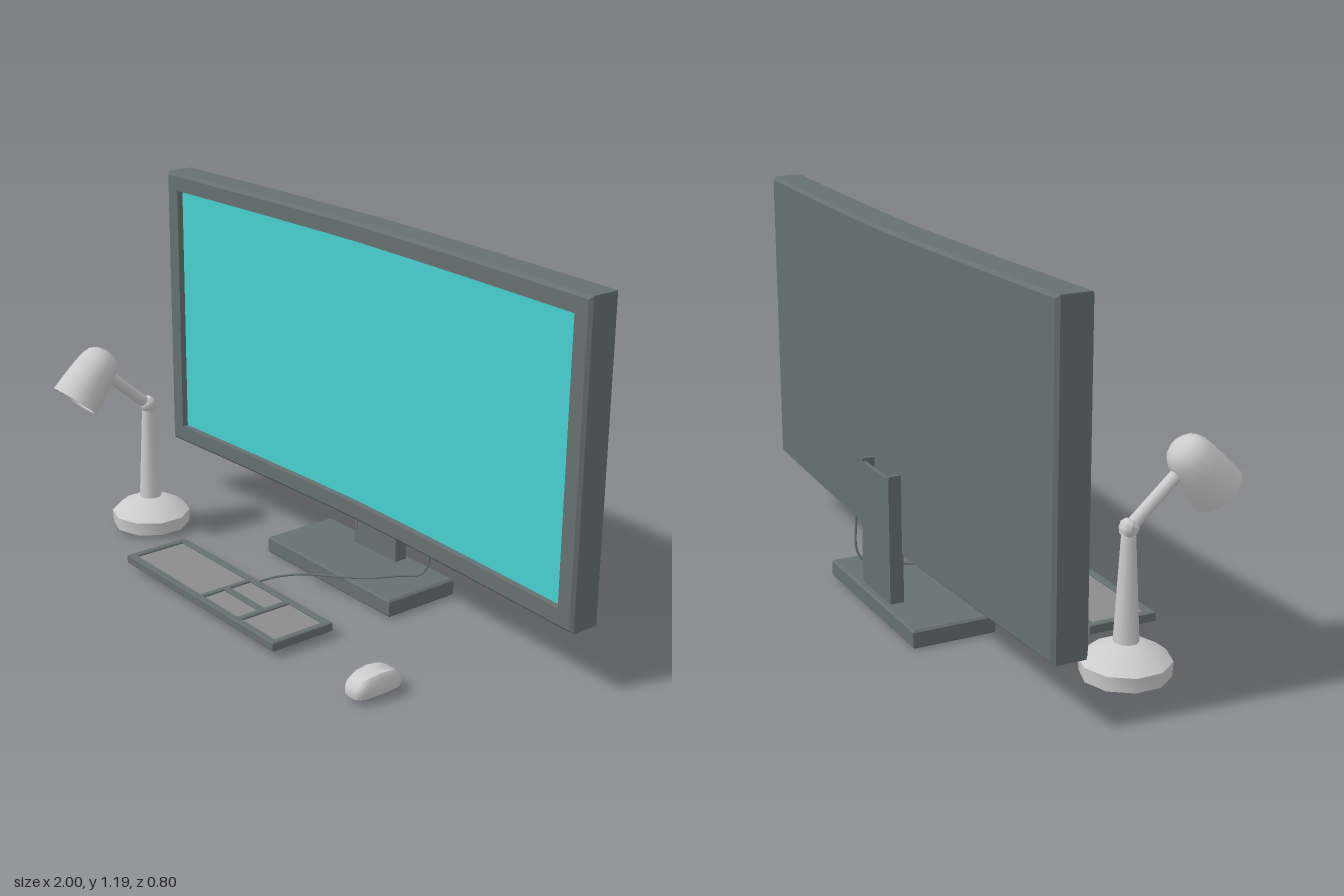
import * as THREE from 'three';
import { toCreasedNormals } from 'three/addons/utils/BufferGeometryUtils.js';

const material = (color) => new THREE.MeshStandardMaterial({ color, side: THREE.DoubleSide });
const grey = material(0xcccccc);
const dark = material(0x667070);
const keyGrey = material(0x8c8c8c);
const cyan = material(0x48d0d0);
const brown = material(0x8f7a62);

function add(parent, name, geometry, mat, x = 0, y = 0, z = 0) {
  const mesh = new THREE.Mesh(geometry, mat);
  mesh.name = name;
  mesh.position.set(x, y, z);
  parent.add(mesh);
  return mesh;
}

function box(parent, name, mat, x0, x1, y0, y1, z0, z1) {
  return add(parent, name, new THREE.BoxGeometry(x1 - x0, y1 - y0, z1 - z0), mat,
    (x0 + x1) / 2, (y0 + y1) / 2, (z0 + z1) / 2);
}

// Skin a surface over closed rings with equal point counts
function loft(rings, crease) {
  const n = rings[0].length;
  const index = [];
  for (let i = 0; i < rings.length - 1; i++) {
    for (let j = 0; j < n; j++) {
      const a = i * n + j, b = i * n + (j + 1) % n;
      index.push(a, b, b + n, a, b + n, a + n);
    }
  }
  const geometry = new THREE.BufferGeometry().setFromPoints(rings.flat());
  geometry.setIndex(index);
  return toCreasedNormals(geometry, crease);
}

const lathe = (profile, sides) => toCreasedNormals(
  new THREE.LatheGeometry(profile.map(([r, y]) => new THREE.Vector2(r, y)), sides), 0.7);

// Horizontal slab with rectangular holes; rectangles are [x0, x1, z0, z1]
function slab([x0, x1, z0, z1], holes, y0, y1, bevel) {
  const rect = (path, a, b, c, d) => path.moveTo(a, -d).lineTo(b, -d).lineTo(b, -c).lineTo(a, -c).closePath();
  const shape = rect(new THREE.Shape(), x0 + bevel, x1 - bevel, z0 + bevel, z1 - bevel);
  for (const h of holes) shape.holes.push(rect(new THREE.Path(), ...h));
  const geometry = new THREE.ExtrudeGeometry(shape, {
    depth: y1 - y0 - 2 * bevel, bevelEnabled: true, bevelSize: bevel, bevelThickness: bevel, bevelSegments: 1,
  });
  return geometry.rotateX(-Math.PI / 2).translate(0, y0 + bevel, 0);
}

// Gentle monitor curve: the centre lies further back than the ends
const SEG = 8;
function bend(geometry) {
  const p = geometry.attributes.position;
  for (let i = 0; i < p.count; i++) {
    p.setZ(i, p.getZ(i) - 0.037 * (1 - Math.abs(p.getX(i)) ** 1.35));
  }
  geometry.computeVertexNormals();
  return geometry;
}

function rectRing(hw, hh, z) {
  const points = [];
  for (let i = 0; i <= SEG; i++) points.push(new THREE.Vector3(hw * (2 * i / SEG - 1), -hh, z));
  for (let i = SEG; i >= 0; i--) points.push(new THREE.Vector3(hw * (2 * i / SEG - 1), hh, z));
  return points;
}

function createMonitor() {
  const g = new THREE.Group();
  g.name = 'monitor';
  const cy = 0.6975, hh = 0.4925, b = 0.01;
  // Casing: back edge, sides, front bezel and the step down to the screen
  const rings = [
    rectRing(1 - b, hh - b, -0.305), rectRing(1, hh, -0.295), rectRing(1, hh, -0.204),
    rectRing(1 - b, hh - b, -0.194), rectRing(0.94, 0.433, -0.194), rectRing(0.94, 0.433, -0.215),
  ];
  add(g, 'casing', toCreasedNormals(bend(loft(rings, 0.5)), 0.5), dark, 0, cy);
  const back = new THREE.PlaneGeometry(2 * (1 - b), 2 * (hh - b), SEG, 1).rotateY(Math.PI).translate(0, 0, -0.305);
  add(g, 'backPanel', bend(back), dark, 0, cy);
  add(g, 'screen', bend(new THREE.PlaneGeometry(1.88, 0.866, SEG, 1).translate(0, 0, -0.215)), cyan, 0, cy);

  // Stand: channel-shaped neck on a base that is hollow underneath
  box(g, 'neckBack', dark, -0.125, 0.085, 0.05, 0.455, -0.38, -0.368);
  for (const x of [-0.125, 0.073]) box(g, 'neckFlange', dark, x, x + 0.012, 0.05, 0.465, -0.38, -0.335);
  box(g, 'neckFront', dark, -0.113, 0.073, 0.05, 0.3, -0.347, -0.336);
  add(g, 'standBase', slab([-0.335, 0.295, -0.4, -0.13], [[-0.295, 0.255, -0.365, -0.165]], 0, 0.058, 0.006), dark);
  box(g, 'standTop', dark, -0.31, 0.27, 0.04, 0.058, -0.38, -0.15);
  return g;
}

function createKeyboard() {
  const g = new THREE.Group();
  g.name = 'keyboard';
  const blocks = [
    [-0.495, -0.12, 0.11, 0.297], [-0.108, 0.08, 0.11, 0.195],
    [-0.108, 0.08, 0.212, 0.297], [0.095, 0.268, 0.11, 0.297],
  ];
  add(g, 'keyboardFrame', slab([-0.515, 0.287, 0.09, 0.318], blocks, 0.02, 0.05, 0.003), dark);
  for (const [x0, x1, z0, z1] of blocks) box(g, 'keyBlock', keyGrey, x0, x1, 0.038, 0.043, z0, z1);
  return g;
}

// Mouse: rounded footprint, arched top and hollow underside
function createMouse() {
  const ring = (s, height) => Array.from({ length: 20 }, (_, i) => {
    const a = i / 20 * Math.PI * 2;
    const soft = (v) => Math.sign(v) * Math.abs(v) ** 0.55;
    const x = 0.0425 * s * soft(Math.cos(a)), y = 0.088 * s * soft(Math.sin(a));
    return new THREE.Vector3(x, y, height(0.082 - 3 * y * y));
  });
  const rings = [
    ring(0, () => 0.045), ring(0.75, () => 0.045), ring(0.85, () => 0.02), ring(0.97, () => 0.02),
    ring(1, () => 0.035), ring(0.96, (top) => top - 0.013), ring(0.75, (top) => top), ring(0, (top) => top),
  ];
  const geometry = loft(rings, 0.8).rotateX(-Math.PI / 2);
  const mouse = new THREE.Mesh(geometry, grey);
  mouse.name = 'mouse';
  mouse.position.set(0.637, 0, 0.2225);
  return mouse;
}

function createLamp() {
  const g = new THREE.Group();
  g.name = 'deskLamp';
  g.position.set(-0.773, 0, 0.056);
  add(g, 'lampBase', lathe([[0, 0.085], [0.09, 0.06], [0.12, 0.015], [0.132, 0.015], [0.135, 0.06],
    [0.1, 0.088], [0.04, 0.115], [0, 0.115]], 10), grey);
  add(g, 'stem', new THREE.CylinderGeometry(0.021, 0.038, 0.32, 10), grey, 0, 0.27, 0);
  add(g, 'joint', lathe([[0, -0.025], [0.02, -0.022], [0.028, -0.006], [0.028, 0.012],
    [0.018, 0.025], [0, 0.027]], 10), grey, 0, 0.45, 0).rotation.x = 0.4;

  // Arm leaning forward to the shade
  const from = new THREE.Vector3(0, 0.45, 0), to = new THREE.Vector3(0, 0.6, 0.17);
  const dir = to.clone().sub(from);
  const arm = add(g, 'arm', new THREE.CylinderGeometry(0.019, 0.019, dir.length(), 10), grey);
  arm.position.copy(from).add(to).multiplyScalar(0.5);
  arm.quaternion.setFromUnitVectors(new THREE.Vector3(0, 1, 0), dir.normalize());

  // Bell-shaped shade, opening forward and down
  const head = new THREE.Group();
  head.name = 'lampHead';
  head.position.set(0, 0.52, 0.284);
  head.rotation.x = -0.702;
  add(head, 'shade', lathe([[0.071, 0.03], [0.076, 0], [0.085, 0], [0.081, 0.05], [0.074, 0.11],
    [0.067, 0.15], [0.055, 0.178], [0.035, 0.194], [0, 0.202]], 14), grey);
  add(head, 'lampLens', new THREE.CircleGeometry(0.074, 14).rotateX(Math.PI / 2), brown, 0, 0.02, 0);
  g.add(head);
  return g;
}

// Cable from the keyboard across the stand base and up behind the monitor
function createCable() {
  const path = new THREE.CatmullRomCurve3([
    [-0.11, 0.035, 0.095], [-0.09, 0.041, 0.01], [-0.03, 0.052, -0.055], [0.08, 0.062, -0.125],
    [0.14, 0.063, -0.19], [0.18, 0.063, -0.27], [0.22, 0.066, -0.32], [0.24, 0.1, -0.337], [0.25, 0.22, -0.331],
  ].map((p) => new THREE.Vector3(...p)));
  const cable = new THREE.Mesh(new THREE.TubeGeometry(path, 40, 0.004, 6), dark);
  cable.name = 'cable';
  return cable;
}

export function createModel() {
  const model = new THREE.Group();
  model.name = 'deskSetup';
  model.add(createMonitor(), createKeyboard(), createMouse(), createLamp(), createCable());
  return model;
}
